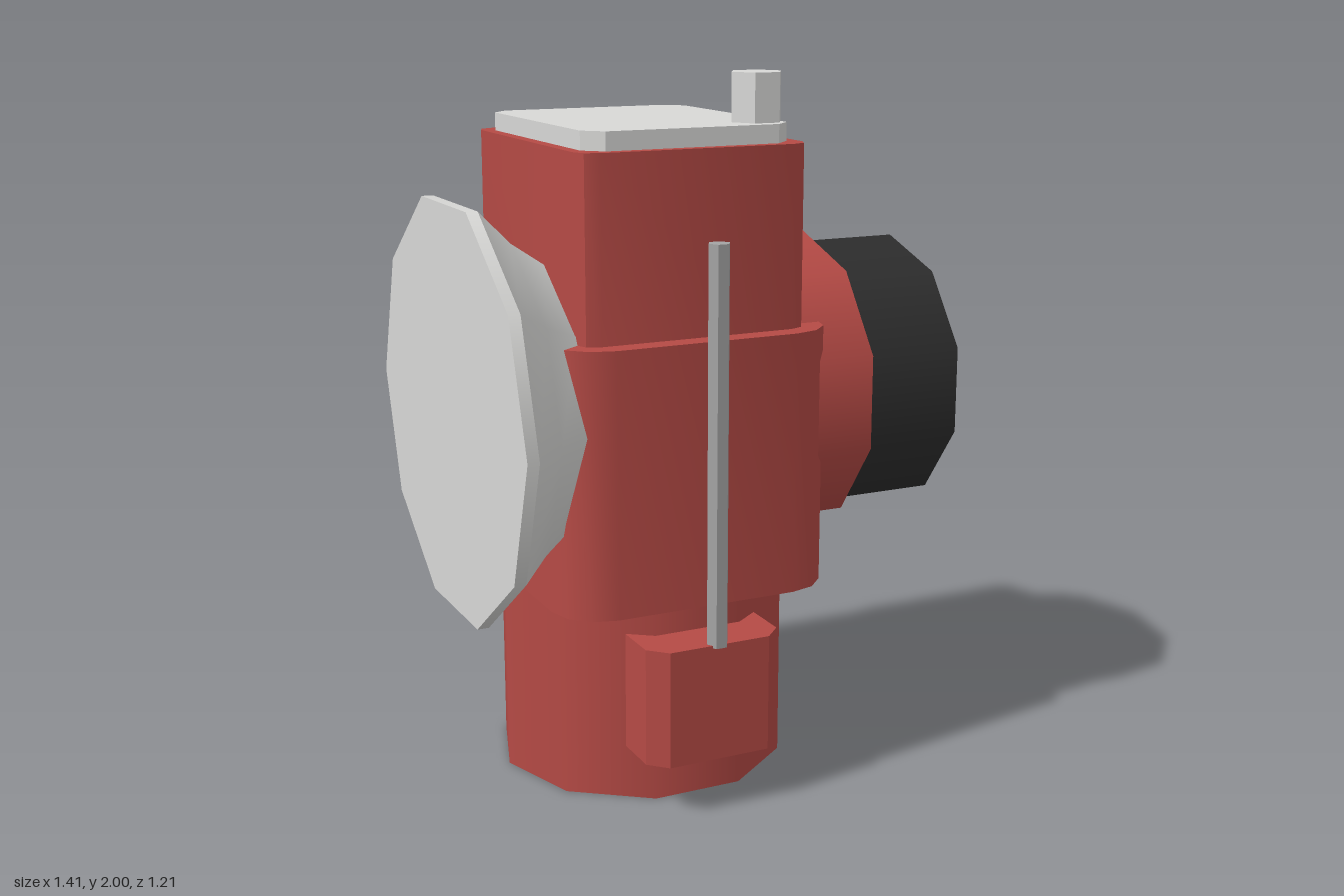
import * as THREE from 'three';
import { toCreasedNormals } from 'three/addons/utils/BufferGeometryUtils.js';

const mat = (name, color) => new THREE.MeshStandardMaterial({ name, color });

// Outline of a rectangle whose corners are arcs of n straight steps
function roundedOutline(w, d, r, n) {
  const pts = [];
  const corners = [[1, 1], [-1, 1], [-1, -1], [1, -1]];
  corners.forEach(([sx, sy], k) => {
    for (let i = 0; i <= n; i++) {
      const a = (k + i / n) * Math.PI / 2;
      pts.push(new THREE.Vector2(
        sx * (w / 2 - r) + r * Math.cos(a),
        sy * (d / 2 - r) + r * Math.sin(a)));
    }
  });
  return pts;
}

// Upright prism from an outline in (x, -z), between heights y0 and y1
function prism(outline, y0, y1) {
  const geo = new THREE.ExtrudeGeometry(new THREE.Shape(outline), { depth: y1 - y0, bevelEnabled: false });
  geo.rotateX(-Math.PI / 2).translate(0, y0, 0);
  return toCreasedNormals(geo, 0.7);
}

// Upright faceted cylinder with a corner on the x axis
function upright(r, sides, y0, y1) {
  return new THREE.CylinderGeometry(r, r, y1 - y0, sides, 1, false, Math.PI / 2).translate(0, (y0 + y1) / 2, 0);
}

// Ten-sided cylinder lying along x
function lying(r, x0, x1, start) {
  return new THREE.CylinderGeometry(r, r, x1 - x0, 10, 1, false, start)
    .rotateZ(-Math.PI / 2).translate((x0 + x1) / 2, 0, 0);
}

export function createModel() {
  const red = mat('red paint', 0xb54a45);
  const lightGrey = mat('light grey metal', 0xd8d8d6);
  const grey = mat('grey metal', 0xa4a4a4);
  const black = mat('black rubber', 0x2d2d2d);

  const model = new THREE.Group();
  const add = (name, geo, material, x = 0, y = 0, z = 0) => {
    const mesh = new THREE.Mesh(geo, material);
    mesh.name = name;
    mesh.position.set(x, y, z);
    model.add(mesh);
  };
  const cx = -0.137;

  // Stacked housing
  add('base', upright(0.42, 10, 0, 0.6), red, cx);
  add('middleHousing', prism(roundedOutline(0.81, 0.926, 0.14, 3), 0.575, 1.312), red, cx);
  add('upperHousing', prism(roundedOutline(0.672, 0.804, 0.055, 2), 1.2, 1.815), red, cx);

  // Lid and knob on top
  add('lid', prism(roundedOutline(0.605, 0.738, 0.05, 1), 1.815, 1.866), lightGrey, cx);
  add('topKnob', toCreasedNormals(upright(0.075, 6, 1.866, 2), 0.7), lightGrey, 0.1, 0, 0.265);

  // Side barrel with its dark cap
  add('sideBarrel', lying(0.435, 0, 0.4, Math.PI / 2), red, 0, 1.08);
  add('sideCap', lying(0.403, 0.4, 0.703, Math.PI / 2), black, 0, 1.08);

  // Flared dish on the opposite side
  add('dishRim', lying(0.605, -0.708, -0.675, 0), lightGrey, 0, 1.08);
  const flare = [[0.605, -0.675], [0.505, -0.575], [0.436, -0.475], [0.385, -0.4]]
    .map(([r, x]) => new THREE.Vector2(r, x));
  add('dishFlare', new THREE.LatheGeometry(flare, 10).rotateZ(-Math.PI / 2), lightGrey, 0, 1.08);

  // Chamfered box on the front of the base, carrying a rod
  const box = [[-0.2, -0.25], [0.2, -0.25], [0.2, -0.485], [0.15, -0.535], [-0.15, -0.535], [-0.2, -0.485]]
    .reverse().map(([x, y]) => new THREE.Vector2(x, y));
  add('frontBox', prism(box, 0.153, 0.487), red, -0.136);
  add('rod', toCreasedNormals(upright(0.031, 6, 0.48, 1.583), 0.7), grey, cx, 0, 0.518);

  return model;
}
